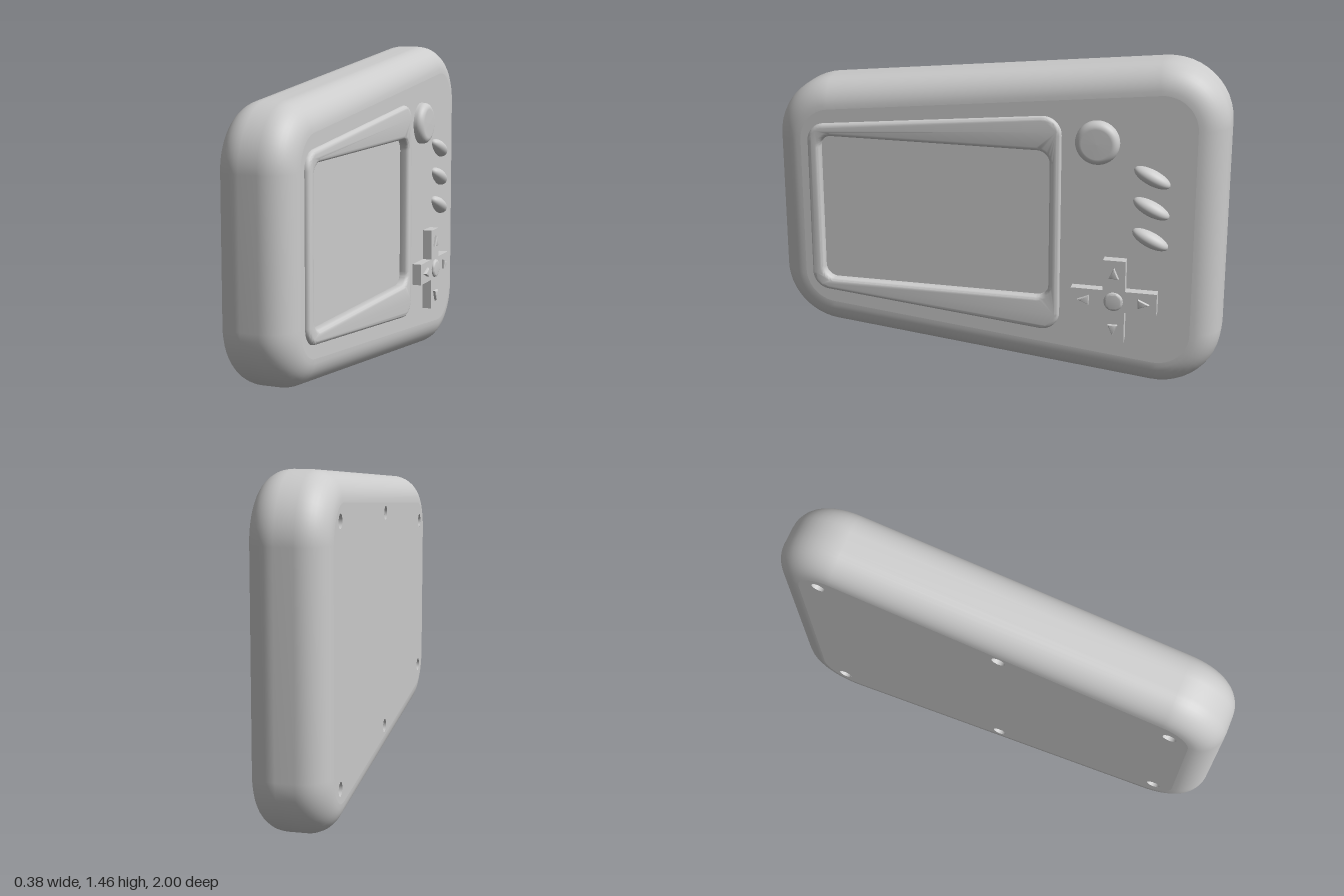
import * as THREE from 'three';
import { toCreasedNormals } from 'three/addons/utils/BufferGeometryUtils.js';

const grey = new THREE.MeshStandardMaterial({ color: 0xcccccc });
const thin = new THREE.MeshStandardMaterial({ color: 0xcccccc, side: THREE.DoubleSide });
const BACK = -0.195, FACE = 0.135, MID = 0.7375;

// Rounded polygon from counter-clockwise corners, optionally inset with the same arc centres
function outline(corners, r, inset = 0, steps = 12) {
  const n = corners.length, pts = [];
  const dir = (i) => corners[(i + 1) % n].clone().sub(corners[i]).normalize();
  for (let i = 0; i < n; i++) {
    const d1 = dir((i + n - 1) % n), d2 = dir(i), cross = d1.cross(d2);
    const c = corners[i].clone().addScaledVector(d2.clone().sub(d1), r / cross);
    const start = Math.atan2(-d1.x, d1.y), sweep = Math.asin(cross) > 0 ? Math.acos(d1.dot(d2)) : 0;
    for (let k = 0; k <= steps; k++) {
      const a = start + (sweep * k) / steps;
      pts.push(new THREE.Vector2(c.x + (r - inset) * Math.cos(a), c.y + (r - inset) * Math.sin(a)));
    }
  }
  return pts;
}

// Upright trapezoid, symmetric about the middle height
function trapezoid(x0, x1, half0, half1) {
  return [[x0, -half0], [x1, -half1], [x1, half1], [x0, half0]]
    .map(([x, y]) => new THREE.Vector2(x, MID + y));
}

// Skin between rings of equal point count
function loft(rings) {
  const n = rings[0].pts.length, pos = [], idx = [];
  rings.forEach(({ pts, z }) => pts.forEach((p) => pos.push(p.x, p.y, z)));
  for (let k = 0; k < rings.length - 1; k++) {
    for (let i = 0; i < n; i++) {
      const j = (i + 1) % n, a = k * n + i, b = k * n + j;
      idx.push(a, b, b + n, a, b + n, a + n);
    }
  }
  const g = new THREE.BufferGeometry();
  g.setAttribute('position', new THREE.Float32BufferAttribute(pos, 3));
  g.setIndex(idx);
  g.computeVertexNormals();
  return g;
}

function extrude(shape, depth, bevelSize, bevelThickness, bevelSegments) {
  const g = new THREE.ExtrudeGeometry(shape, {
    depth, bevelEnabled: bevelSize > 0, bevelSize, bevelThickness, bevelSegments,
    bevelOffset: -bevelSize, curveSegments: 16,
  });
  return toCreasedNormals(g, 0.6);
}

export function createModel() {
  const model = new THREE.Group();
  // Built facing +z, then turned so that the control face looks along +x
  const device = new THREE.Group();
  device.name = 'handheldConsole';
  device.rotation.y = Math.PI / 2;
  model.add(device);
  const add = (name, geometry, x = 0, y = 0, z = 0, material = grey, parent = device) => {
    const mesh = new THREE.Mesh(geometry, material);
    mesh.name = name;
    mesh.position.set(x, y, z);
    parent.add(mesh);
    return mesh;
  };

  // Casing with fully rounded edges
  const corners = trapezoid(-1, 1, 0.5525, 0.7575), R = 0.27, E = 0.125, rings = [];
  for (const [z, from] of [[BACK + E, -Math.PI / 2], [FACE - E, 0]]) {
    for (let k = 0; k <= 10; k++) {
      const a = from + (k / 10) * Math.PI / 2;
      rings.push({ pts: outline(corners, R, E * (1 - Math.cos(a))), z: z + E * Math.sin(a) });
    }
  }
  add('casing', loft(rings));

  // Control face, open under the screen
  const screenCorners = trapezoid(-0.805, 0.27, 0.352, 0.352);
  const face = new THREE.Shape(outline(corners, R, E));
  face.holes.push(new THREE.Path(outline(screenCorners, 0.07)));
  add('controlFace', new THREE.ShapeGeometry(face), 0, 0, FACE);

  // Back face with six screw wells
  const wells = [];
  for (const [x, dy] of [[0.775, 0.535], [-0.03, 0.48], [-0.79, 0.36]]) {
    for (const s of [-1, 1]) wells.push([x, MID + s * dy]);
  }
  const back = new THREE.Shape(outline(corners, R, E));
  for (const [x, y] of wells) {
    back.holes.push(new THREE.Path().absarc(x, y, 0.03, 0, Math.PI * 2, true));
    const well = new THREE.Group();
    well.name = 'screwWell';
    well.position.set(x, y, BACK);
    device.add(well);
    add('wellWall', new THREE.CylinderGeometry(0.03, 0.03, 0.05, 24, 1, true).rotateX(Math.PI / 2), 0, 0, 0.025, thin, well);
    add('wellFloor', new THREE.CircleGeometry(0.03, 24), 0, 0, 0.05, thin, well);
  }
  add('backFace', new THREE.ShapeGeometry(back, 24), 0, 0, BACK, thin);

  // Raised screen frame and sunken screen
  const frame = new THREE.Shape(outline(trapezoid(-0.84, 0.3, 0.383, 0.495), 0.08));
  // The bevel offset widens the opening, so the path is drawn at its narrowest size
  frame.holes.push(new THREE.Path(outline(trapezoid(-0.785, 0.25, 0.335, 0.335), 0.055)));
  add('screenFrame', extrude(frame, 0.03, 0.018, 0.018, 4), 0, 0, 0.107);
  add('screen', new THREE.ShapeGeometry(new THREE.Shape(outline(screenCorners, 0.07))), 0, 0, 0.112);

  // Round button with a softened rim
  const rim = [new THREE.Vector2(0.095, -0.01)];
  for (let k = 0; k <= 8; k++) {
    const a = (k / 8) * Math.PI / 2;
    rim.push(new THREE.Vector2(0.065 + 0.03 * Math.cos(a), 0.013 + 0.03 * Math.sin(a)));
  }
  rim.push(new THREE.Vector2(0, 0.044));
  add('roundButton', new THREE.LatheGeometry(rim, 40).rotateX(Math.PI / 2), 0.455, 1.125, FACE);

  // Three slanted oval buttons
  for (const y of [0.986, 0.848, 0.709]) {
    const oval = add('ovalButton', new THREE.SphereGeometry(1, 32, 20), 0.69, y, FACE);
    oval.scale.set(0.085, 0.034, 0.043);
    oval.rotation.z = -0.44;
  }

  // Direction pad: cross, centre stud and four arrows
  const pad = new THREE.Group();
  pad.name = 'directionPad';
  pad.position.set(0.545, 0.425, FACE);
  device.add(pad);
  const L = 0.188, W = 0.049, cross = [];
  for (let q = 0; q < 4; q++) {
    for (const [x, y] of [[L, -W], [L, W], [W, W]]) {
      cross.push(new THREE.Vector2(x, y).rotateAround(new THREE.Vector2(), (q * Math.PI) / 2));
    }
  }
  add('padCross', extrude(new THREE.Shape(cross), 0.053, 0, 0, 0), 0, 0, -0.01, grey, pad);
  const stud = new THREE.Shape().absarc(0, 0, 0.042, 0, Math.PI * 2);
  add('padStud', extrude(stud, 0.02, 0.01, 0.008, 3), 0, 0, 0.027, grey, pad);
  const arrow = new THREE.Shape([[0.158, 0], [0.107, 0.022], [0.107, -0.022]].map(([x, y]) => new THREE.Vector2(x, y)));
  for (let q = 0; q < 4; q++) {
    const mesh = add('padArrow', extrude(arrow, 0.02, 0.005, 0.006, 2), 0, 0, 0.029, grey, pad);
    mesh.rotation.z = (q * Math.PI) / 2;
  }
  return model;
}
